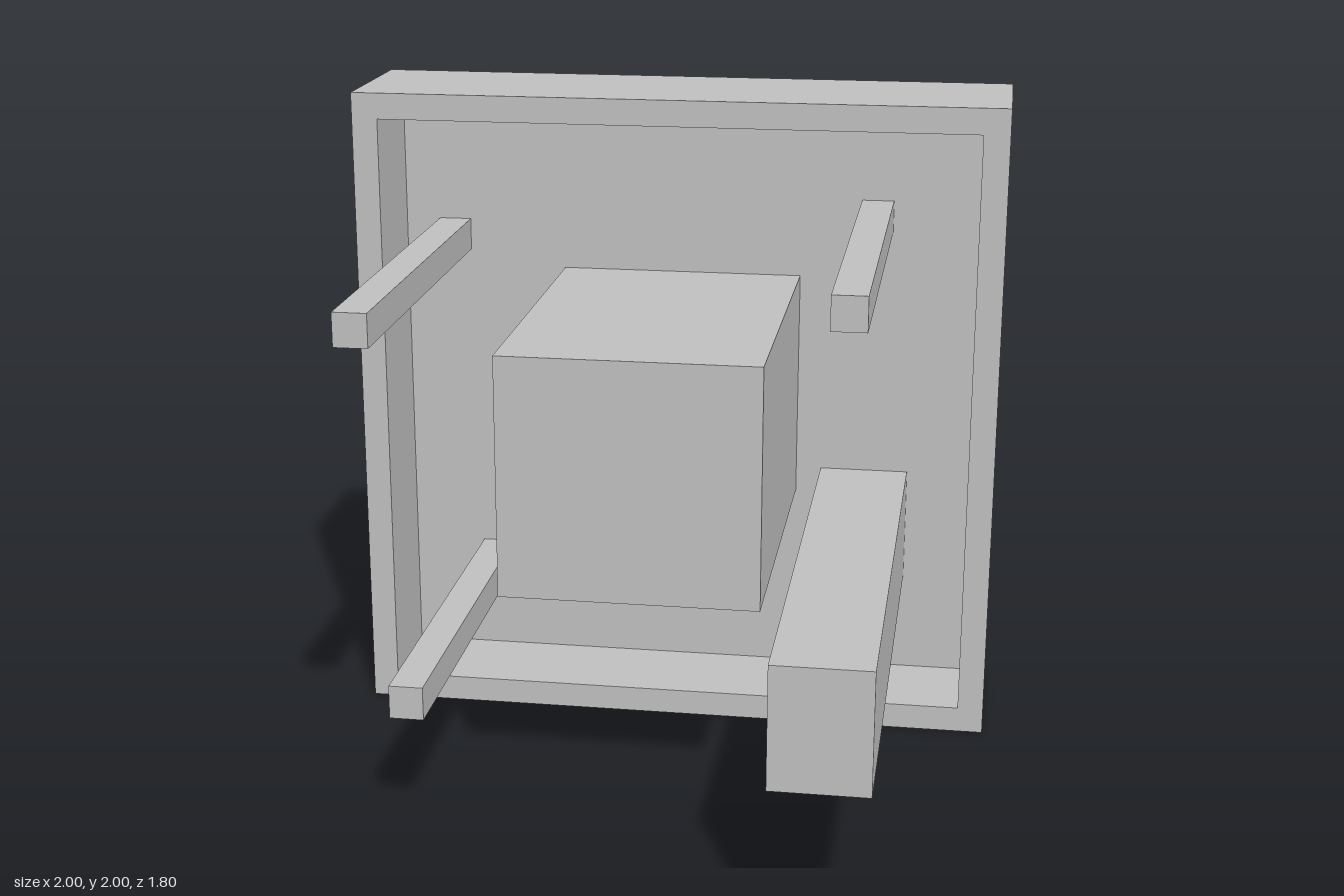
import * as THREE from 'three';

const FLOOR_Z = -0.74; // inner face of the back panel
const RIM_Z = -0.42;   // front of the rim
const BACK_Z = -0.9;

export function createModel() {
  const model = new THREE.Group();
  model.name = 'trayWithPosts';
  const grey = new THREE.MeshStandardMaterial({ color: 0xbfbfbf });
  grey.name = 'plain grey';

  const add = (name, geometry) => {
    const mesh = new THREE.Mesh(geometry, grey);
    mesh.name = name;
    model.add(mesh);
    return mesh;
  };

  // Box given by its limits on each axis
  const box = (name, [x0, x1], [y0, y1], [z0, z1]) =>
    add(name, new THREE.BoxGeometry(x1 - x0, y1 - y0, z1 - z0))
      .position.set((x0 + x1) / 2, (y0 + y1) / 2, (z0 + z1) / 2);

  // Square outline centred on the panel
  const square = (PathType, half) => new PathType([
    [-half, 1 - half], [half, 1 - half], [half, 1 + half], [-half, 1 + half],
  ].map(([x, y]) => new THREE.Vector2(x, y)));

  // Shallow open tray: back panel and raised rim
  box('backPanel', [-1, 1], [0, 2], [BACK_Z, FLOOR_Z]);
  const rimShape = square(THREE.Shape, 1);
  rimShape.holes.push(square(THREE.Path, 0.92));
  const rim = new THREE.ExtrudeGeometry(rimShape, { depth: RIM_Z - FLOOR_Z, bevelEnabled: false });
  add('rim', rim).position.z = FLOOR_Z;

  // Large block and long beam standing on the panel
  box('centreBlock', [-0.4, 0.36], [0.68, 1.4], [FLOOR_Z, 0.34]);
  box('longBeam', [0.44, 0.72], [0.4, 0.76], [FLOOR_Z, 0.9]);

  // Three thin posts
  const posts = { upperRightPost: [-0.76, 1.5], upperLeftPost: [0.6, 1.6], lowerRightPost: [-0.64, 0.4] };
  for (const [name, [x, y]] of Object.entries(posts)) {
    box(name, [x - 0.05, x + 0.05], [y - 0.05, y + 0.05], [FLOOR_Z, 0.5]);
  }

  return model;
}
